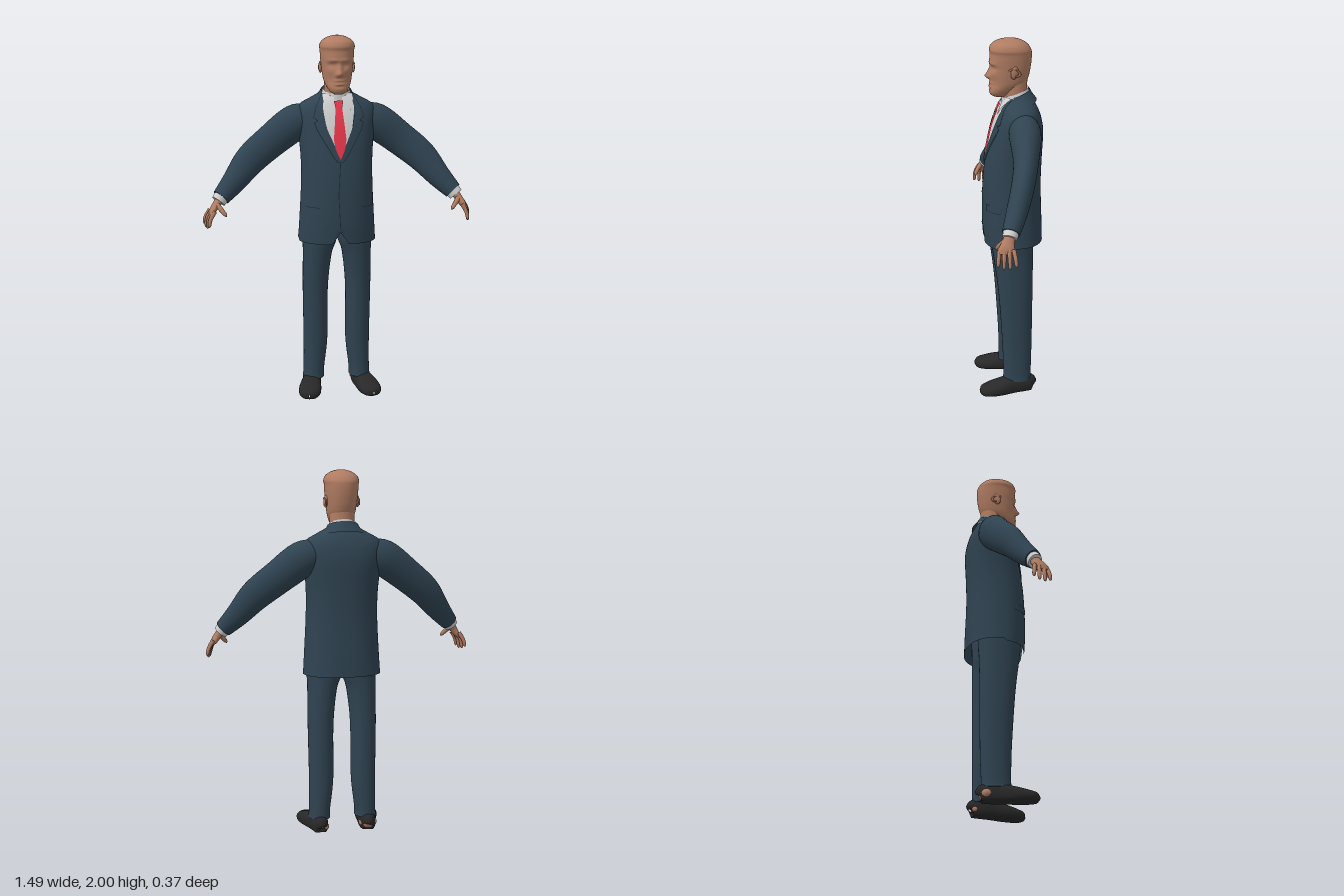
import * as THREE from 'three';

const mat = (name, color, side = THREE.FrontSide) => {
  const m = new THREE.MeshStandardMaterial({ color, side });
  m.name = name;
  return m;
};
const V = (x, y, z) => new THREE.Vector3(x, y, z);

// Catmull-Rom resampling of table rows, k steps per span
function resample(rows, k) {
  const out = [], last = rows.length - 1;
  for (let i = 0; i < last; i++) {
    const p = [rows[Math.max(i - 1, 0)], rows[i], rows[i + 1], rows[Math.min(i + 2, last)]];
    for (let s = 0; s < k; s++) {
      const t = s / k;
      out.push(p[1].map((b, c) => {
        const a = p[0][c], d = p[2][c], e = p[3][c];
        return 0.5 * (2 * b + (d - a) * t + (2 * a - 5 * b + 4 * d - e) * t * t + (3 * b - a - 3 * d + e) * t * t * t);
      }));
    }
  }
  out.push(rows[last]);
  return out;
}

// Skin over superellipse rings {c, u, v}; a0..a1 limits the arc
function loft(rings, { seg = 32, n = 2, a0 = 0, a1 = Math.PI * 2, caps = false } = {}) {
  const closed = a1 - a0 > 6.28, cols = closed ? seg : seg + 1;
  const pos = [], idx = [];
  const pw = (a) => Math.sign(a) * Math.abs(a) ** (2 / n);
  const ring = (r) => {
    for (let j = 0; j < cols; j++) {
      const a = a0 + (a1 - a0) * j / seg;
      const p = r.c.clone().addScaledVector(r.u, pw(Math.cos(a))).addScaledVector(r.v, pw(Math.sin(a)));
      pos.push(p.x, p.y, p.z);
    }
  };
  rings.forEach(ring);
  for (let i = 0; i < rings.length - 1; i++) for (let j = 0; j < seg; j++) {
    const k = (j + 1) % cols, a = i * cols + j, b = i * cols + k;
    idx.push(a, a + cols, b, b, a + cols, b + cols);
  }
  if (caps) [rings[0], rings[rings.length - 1]].forEach((r, e) => {
    const base = pos.length / 3;
    ring(r);
    pos.push(r.c.x, r.c.y, r.c.z);
    for (let j = 0; j < seg; j++) {
      const k = base + (j + 1) % cols;
      if (e) idx.push(base + cols, k, base + j); else idx.push(base + cols, base + j, k);
    }
  });
  return build(pos, idx);
}

function build(pos, idx) {
  const g = new THREE.BufferGeometry();
  g.setAttribute('position', new THREE.Float32BufferAttribute(pos, 3));
  g.setIndex(idx);
  g.computeVertexNormals();
  return g;
}

// Upright stack: rows [y, centre x, half width, front z, back z]
const stack = (rows, opts) => loft(rows.map(([y, cx, hw, zf, zb]) => (
  { c: V(cx, y, (zf + zb) / 2), u: V(hw, 0, 0), v: V(0, 0, (zf - zb) / 2) })), opts);

// Limb along a path: rows [x, y, z, thickness, width]; width runs along ref
function limb(rows, ref, opts) {
  return loft(rows.map((r, i) => {
    const a = rows[Math.max(i - 1, 0)], b = rows[Math.min(i + 1, rows.length - 1)];
    const t = V(b[0] - a[0], b[1] - a[1], b[2] - a[2]).normalize();
    const v = ref.clone().addScaledVector(t, -ref.dot(t)).normalize();
    return { c: V(r[0], r[1], r[2]), u: t.clone().cross(v).multiplyScalar(r[3]), v: v.multiplyScalar(r[4]) };
  }), opts);
}

function warp(g, rule) {
  const p = g.attributes.position, v = V(0, 0, 0);
  for (let i = 0; i < p.count; i++) {
    rule(v.fromBufferAttribute(p, i));
    p.setXYZ(i, v.x, v.y, v.z);
  }
  g.computeVertexNormals();
  return g;
}

function mirror(g) {
  const m = g.clone().scale(-1, 1, 1), a = m.index.array;
  for (let i = 0; i < a.length; i += 3) [a[i], a[i + 1]] = [a[i + 1], a[i]];
  m.computeVertexNormals();
  return m;
}

export function createModel() {
  const skin = mat('skin', 0xb07c62);
  const suit = mat('suit cloth', 0x2f4351, THREE.DoubleSide);
  const seam = mat('suit seam', 0x1c2831, THREE.DoubleSide);
  const shirt = mat('shirt', 0xcfcfcf, THREE.DoubleSide);
  const red = mat('tie red', 0xe6374b, THREE.DoubleSide);
  const black = mat('shoe leather', 0x282828);
  const model = new THREE.Group();
  const add = (name, g, m) => {
    const mesh = new THREE.Mesh(g, m);
    mesh.name = name;
    model.add(mesh);
  };
  const pair = (name, g, m) => { add(name + 'Left', g, m); add(name + 'Right', mirror(g), m); };

  // Jacket body, with cut-away front corners at the hem
  const torso = resample([
    [0.875, 0, 0.215, 0.14, -0.183], [1.0, 0, 0.207, 0.147, -0.18], [1.2, 0, 0.197, 0.142, -0.174],
    [1.35, 0, 0.198, 0.125, -0.178], [1.5, 0, 0.212, 0.094, -0.184], [1.58, 0, 0.22, 0.068, -0.172],
    [1.625, 0, 0.2, 0.048, -0.155], [1.655, 0, 0.15, 0.033, -0.138], [1.685, 0, 0.095, 0.012, -0.115]], 5);
  const N = 2.25;
  add('jacketBody', warp(stack(torso, { seg: 80, n: N }), (p) => {
    if (p.z > 0 && p.y < 0.96) p.y += (0.96 - p.y) * 0.8 * Math.max(0, 1 - Math.abs(p.x) / 0.045);
    if (p.z < 0 && p.y < 0.9) p.y += 0.012;
  }), suit);

  // Thin plates that follow the jacket front: rows [y, x0, x1], top to bottom
  const frontZ = (x, y) => {
    let i = torso.findIndex((r) => r[0] >= y);
    i = i < 0 ? torso.length - 1 : Math.max(i, 1);
    const a = torso[i - 1], b = torso[i], t = Math.min((y - a[0]) / (b[0] - a[0]), 1);
    const [, , hw, zf, zb] = a.map((q, c) => q + (b[c] - q) * t);
    return (zf + zb) / 2 + (zf - zb) / 2 * Math.max(0, 1 - Math.abs(x / hw) ** N) ** (1 / N);
  };
  const plate = (rows, off, nx = 10, ny = 8) => {
    const pos = [], idx = [], w = nx + 1;
    rows.forEach((r, i) => {
      const q = rows[i + 1], steps = q ? ny : 1;
      for (let s = 0; s < steps; s++) {
        const [y, x0, x1] = q ? r.map((a, c) => a + (q[c] - a) * s / ny) : r;
        for (let j = 0; j <= nx; j++) {
          const x = x0 + (x1 - x0) * j / nx;
          pos.push(x, y, frontZ(x, y) + off);
        }
      }
    });
    for (let i = 0; i < (rows.length - 1) * ny; i++) for (let j = 0; j < nx; j++) {
      const a = i * w + j;
      idx.push(a, a + w, a + 1, a + 1, a + w, a + w + 1);
    }
    return build(pos, idx);
  };
  add('shirtFront', plate([[1.68, -0.075, 0.075], [1.62, -0.088, 0.088], [1.5, -0.068, 0.068], [1.35, 0, 0]], 0.004, 20), shirt);
  add('tieKnot', plate([[1.652, -0.026, 0.026], [1.612, -0.017, 0.017]], 0.015), red);
  add('tieBlade', plate([[1.615, -0.018, 0.018], [1.45, -0.034, 0.034], [1.4, -0.026, 0.026], [1.345, -0.002, 0.002]], 0.01), red);
  const lapel = [[1.685, 0.072, 0.085], [1.62, 0.086, 0.12], [1.565, 0.08, 0.135], [1.55, 0.077, 0.112],
    [1.54, 0.076, 0.132], [1.5, 0.066, 0.118], [1.35, 0, 0.03], [1.33, 0, 0.012]];
  pair('lapelEdge', plate(lapel.map(([y, a, b]) => [y - 0.003, a, b + 0.004]), 0.005), seam);
  pair('lapel', plate(lapel, 0.009), suit);
  pair('collarPoint', plate([[1.69, 0.02, 0.08], [1.66, 0.022, 0.082], [1.6, 0.058, 0.062]], 0.012), shirt);
  pair('pocketEdge', plate([[1.113, 0.112, 0.187], [1.078, 0.112, 0.187]], 0.003), seam);
  pair('pocketFlap', plate([[1.117, 0.11, 0.188], [1.082, 0.11, 0.188]], 0.006), suit);
  add('frontSeam', plate([[1.33, -0.002, 0.002], [1.15, -0.014, -0.01], [0.96, -0.004, 0]], 0.003, 2), seam);

  // Neck and collars, tilted up at the back
  add('neck', stack([[1.6, 0, 0.072, 0.0, -0.1], [1.7, 0, 0.068, 0.03, -0.1], [1.78, 0, 0.068, 0.04, -0.1]]), skin);
  const tilt = (p) => { p.y -= p.z * 0.35; };
  add('shirtCollar', warp(stack([[1.655, 0, 0.085, 0.04, -0.112], [1.7, 0, 0.073, 0.036, -0.106]]), tilt), shirt);
  add('jacketCollar', warp(stack([[1.62, 0, 0.135, 0.03, -0.15], [1.66, 0, 0.098, 0.03, -0.126], [1.688, 0, 0.083, 0.03, -0.113]],
    { a0: Math.PI - 0.35, a1: Math.PI * 2 + 0.35 }), tilt), suit);

  // Head, with the face raised and sunk by soft bumps
  const head = resample([
    [1.688, 0, 0.022, 0.078, 0.02], [1.7, 0, 0.042, 0.098, 0.0], [1.725, 0, 0.06, 0.105, -0.04],
    [1.76, 0, 0.074, 0.1, -0.09], [1.8, 0, 0.081, 0.098, -0.108], [1.85, 0, 0.087, 0.099, -0.118],
    [1.885, 0, 0.09, 0.102, -0.122], [1.92, 0, 0.092, 0.1, -0.123], [1.942, 0, 0.095, 0.104, -0.119],
    [1.968, 0, 0.084, 0.092, -0.1], [1.988, 0, 0.055, 0.06, -0.068], [1.998, 0, 0.022, 0.02, -0.03], [2.0, 0, 0.001, -0.005, -0.007]], 6);
  const bumps = [ // x, y, spread x, spread y, height
    [0, 1.8, 0.013, 0.011, 0.024], [0, 1.825, 0.01, 0.018, 0.014], [0.014, 1.795, 0.008, 0.008, 0.007],
    [0.036, 1.846, 0.017, 0.01, -0.013], [0.036, 1.846, 0.01, 0.005, 0.005], [0.034, 1.87, 0.022, 0.007, 0.006],
    [0, 1.763, 0.02, 0.005, 0.007], [0, 1.754, 0.024, 0.003, -0.006], [0, 1.746, 0.018, 0.005, 0.007],
    [0, 1.733, 0.022, 0.005, -0.005], [0.045, 1.815, 0.015, 0.015, 0.004], [0.05, 1.765, 0.014, 0.02, -0.005]];
  add('head', warp(stack(head, { seg: 96, n: 2.2 }), (p) => {
    if (p.z < 0.02) return;
    const { x, y } = p;
    for (const [bx, by, sx, sy, h] of bumps) for (const s of bx ? [-1, 1] : [1])
      p.z += h * Math.exp(-(((x - s * bx) / sx) ** 2 + ((y - by) / sy) ** 2) / 2);
  }), skin);
  const ear = new THREE.SphereGeometry(1, 16, 12).scale(0.01, 0.034, 0.021);
  pair('ear', ear.rotateX(-0.2).rotateY(0.25).translate(0.088, 1.83, -0.022), skin);
  const lobe = new THREE.TorusGeometry(0.02, 0.005, 8, 20, 4.6).scale(0.85, 1.45, 1);
  pair('earRim', lobe.rotateZ(-1.9).rotateY(Math.PI / 2).translate(0.092, 1.83, -0.022), skin);

  // Sleeves, cuffs and hands
  const Z = V(0, 0, 1);
  pair('sleeve', limb(resample([
    [0.13, 1.555, -0.06, 0.07, 0.07], [0.222, 1.525, -0.063, 0.098, 0.085], [0.36, 1.424, -0.05, 0.092, 0.066],
    [0.475, 1.33, -0.02, 0.085, 0.06], [0.567, 1.222, 0.022, 0.066, 0.055], [0.642, 1.142, 0.06, 0.049, 0.046]], 5),
  Z, { caps: true }), suit);
  pair('shirtCuff', limb([[0.635, 1.15, 0.057, 0.043, 0.041], [0.657, 1.122, 0.068, 0.04, 0.038]], Z, { caps: true }), shirt);
  pair('palm', limb(resample([[0.645, 1.14, 0.062, 0.025, 0.03], [0.668, 1.108, 0.075, 0.021, 0.031],
    [0.69, 1.075, 0.086, 0.018, 0.041], [0.703, 1.052, 0.09, 0.008, 0.036]], 4), Z, { seg: 20, caps: true }), skin);
  [-0.034, -0.011, 0.012, 0.034].forEach((o, i) => {
    const tip = [0.995, 0.982, 0.98, 0.99][i], x = -o * 0.35, z = 0.087 + o;
    pair('finger' + (i + 1), limb(resample([[0.69 + x, 1.078, z, 0.012, 0.011], [0.714 + x, 1.038, z + o * 0.2, 0.011, 0.0105],
      [0.722 + x, tip + 0.012, z + o * 0.3, 0.009, 0.009], [0.722 + x, tip, z + o * 0.3, 0.001, 0.001]], 3), Z, { seg: 10 }), skin);
  });
  pair('thumb', limb(resample([[0.668, 1.112, 0.09, 0.015, 0.015], [0.645, 1.085, 0.115, 0.013, 0.013],
    [0.624, 1.06, 0.13, 0.01, 0.01], [0.617, 1.05, 0.134, 0.001, 0.001]], 3), Z, { seg: 10 }), skin);

  // Trousers
  pair('trouserLeg', stack(resample([
    [0.07, 0.132, 0.06, 0.047, -0.112], [0.12, 0.13, 0.058, 0.044, -0.112], [0.3, 0.12, 0.067, 0.05, -0.117],
    [0.6, 0.121, 0.07, 0.07, -0.12], [0.8, 0.11, 0.08, 0.095, -0.123], [0.88, 0.098, 0.094, 0.106, -0.126],
    [1.0, 0.095, 0.095, 0.11, -0.13]], 5), { n: 2.2, caps: true }), suit);

  // Shoes with flat soles, toes turned out
  pair('shoe', warp(limb(resample([
    [0.132, 0.03, -0.124, 0.006, 0.01], [0.134, 0.035, -0.115, 0.036, 0.05], [0.138, 0.038, -0.06, 0.05, 0.056],
    [0.148, 0.036, 0.0, 0.053, 0.056], [0.163, 0.03, 0.07, 0.062, 0.046], [0.174, 0.024, 0.13, 0.06, 0.035],
    [0.18, 0.022, 0.168, 0.04, 0.026], [0.182, 0.022, 0.185, 0.003, 0.006]], 4), V(0, 1, 0), { n: 2.3 }),
  (p) => { p.y = Math.max(p.y, 0); }), black);

  // Bare heels showing past the shoes
  add('heelRight', new THREE.SphereGeometry(1, 24, 16).scale(0.05, 0.036, 0.044).translate(-0.138, 0.037, -0.083), skin);
  add('heelLeft', new THREE.SphereGeometry(1, 16, 12).scale(0.016, 0.016, 0.018).translate(0.104, 0.03, -0.1), skin);
  return model;
}
